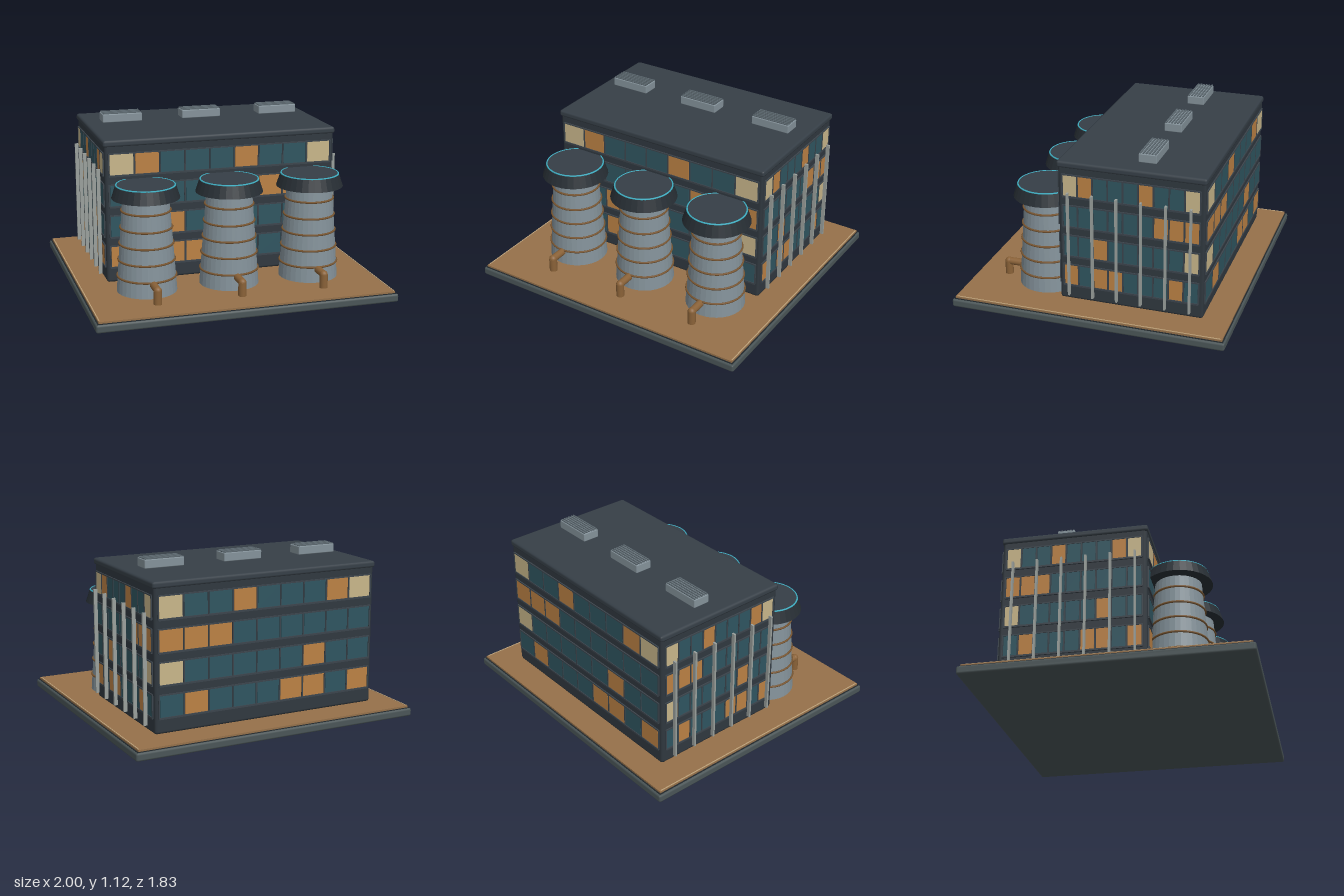
import * as THREE from 'three';
import { RoundedBoxGeometry } from 'three/addons/geometries/RoundedBoxGeometry.js';

const mat = (color, opts = {}) => new THREE.MeshStandardMaterial({ color, ...opts });
const M = {
  slab: mat(0x4a5557), slabEdge: mat(0x23292d), ground: mat(0x96714a), trim: mat(0xc2a57c),
  wall: mat(0x30383f), roof: mat(0x363f47), frame: mat(0x3b444c),
  teal: mat(0x2f5560), orange: mat(0xbb8144), cream: mat(0xc8b68a),
  metal: mat(0x84929a), darkMetal: mat(0x5b676e), conduit: mat(0x9aa09c),
  tower: mat(0x84929a, { flatShading: true }), cap: mat(0x272e34, { flatShading: true }),
  capTop: mat(0x353e47), glow: mat(0x3fb0c4), copper: mat(0x8a6238), hoop: mat(0x7a5732),
};

function add(parent, name, geometry, material, x = 0, y = 0, z = 0) {
  const mesh = new THREE.Mesh(geometry, material);
  mesh.name = name;
  mesh.position.set(x, y, z);
  parent.add(mesh);
  return mesh;
}
const box = (w, h, d) => new THREE.BoxGeometry(w, h, d);
const bevelBox = (w, h, d, r) => new RoundedBoxGeometry(w, h, d, 1, r);

// Building placement
const CZ = -0.245, HALF_X = 0.79, HALF_Z = 0.478;
const ROW_Y = [0.88, 0.672, 0.465, 0.258];
// Window colours per row: c cream, o orange, t teal
const PATTERN = ['cotttottc', 'ttttttooo', 'ttotttttc', 'otootttot'];
const GLASS = { c: M.cream, o: M.orange, t: M.teal };

// One wall of windows; built facing +z, first column at local -x (or +x if flipped)
function windowWall(name, pitch, flip) {
  const g = new THREE.Group();
  g.name = name;
  const dir = flip ? -1 : 1, width = pitch * 9;
  ROW_Y.forEach((y, r) => {
    for (let c = 0; c < 9; c++) {
      add(g, 'windowPane', box(pitch - 0.014, 0.136, 0.012), GLASS[PATTERN[r][c]], dir * (c - 4) * pitch, y, 0);
    }
    for (let c = 0; c <= 9; c++) {
      add(g, 'mullion', box(0.008, 0.15, 0.016), M.frame, (c - 4.5) * pitch, y, 0);
    }
    add(g, 'sill', box(width, 0.012, 0.02), M.frame, 0, y - 0.075, 0);
    add(g, 'lintel', box(width, 0.008, 0.016), M.frame, 0, y + 0.073, 0);
  });
  return g;
}

function makeBuilding() {
  const g = new THREE.Group();
  g.name = 'building';
  add(g, 'walls', bevelBox(HALF_X * 2, 0.95, HALF_Z * 2, 0.018), M.wall, 0, 0.555, CZ);
  add(g, 'roofSlab', bevelBox(1.6, 0.045, 0.97, 0.016), M.roof, 0, 1.018, CZ);

  // Window walls on all four sides
  const front = windowWall('frontWindows', 0.17, false);
  front.position.z = CZ + HALF_Z;
  const back = windowWall('backWindows', 0.17, true);
  back.position.z = CZ - HALF_Z;
  back.rotation.y = Math.PI;
  const left = windowWall('leftWindows', 0.0995, false);
  left.position.set(HALF_X, 0, CZ);
  left.rotation.y = Math.PI / 2;
  const right = windowWall('rightWindows', 0.0995, true);
  right.position.set(-HALF_X, 0, CZ);
  right.rotation.y = -Math.PI / 2;
  g.add(front, back, left, right);

  // Vertical conduits on both end walls
  for (const s of [-1, 1]) {
    for (let i = 0; i < 6; i++) {
      add(g, 'conduit', box(0.024, 0.715, 0.013), M.conduit, s * 0.82, 0.483, 0.16 - i * 0.16);
    }
  }
  return g;
}

// Roof vent with louvre slats on top
function makeVent(x) {
  const g = new THREE.Group();
  g.name = 'roofVent';
  g.position.set(x, 1.055, -0.325);
  add(g, 'ventBox', bevelBox(0.275, 0.058, 0.118, 0.006), M.metal, 0, 0.029, 0);
  for (let i = 0; i < 6; i++) {
    add(g, 'ventSlat', box(0.265, 0.008, 0.01), M.darkMetal, 0, 0.06, (i - 2.5) * 0.0195);
  }
  return g;
}

function makeTower(x) {
  const g = new THREE.Group();
  g.name = 'coolingTower';
  g.position.set(x, 0, 0.397);
  const y0 = 0.07, y1 = 0.71, r0 = 0.198, r1 = 0.15;
  add(g, 'towerShell', new THREE.CylinderGeometry(r1, r0, y1 - y0, 32), M.tower, 0, (y0 + y1) / 2, 0);

  // Hoops follow the taper
  for (const y of [0.175, 0.285, 0.393, 0.5, 0.612]) {
    const r = r0 + (r1 - r0) * (y - y0) / (y1 - y0);
    add(g, 'hoop', new THREE.TorusGeometry(r + 0.003, 0.007, 6, 32), M.hoop, 0, y, 0).rotation.x = Math.PI / 2;
  }

  // Flared cap with a bright rim ring
  add(g, 'cap', new THREE.CylinderGeometry(0.195, 0.222, 0.082, 32), M.cap, 0, 0.735, 0);
  add(g, 'capLid', new THREE.CylinderGeometry(0.188, 0.188, 0.006, 32), M.capTop, 0, 0.776, 0);
  add(g, 'capRing', new THREE.TorusGeometry(0.19, 0.006, 6, 48), M.glow, 0, 0.776, 0).rotation.x = Math.PI / 2;

  // Outlet pipe: horizontal run, elbow, drop
  add(g, 'outletRun', new THREE.CylinderGeometry(0.025, 0.025, 0.13, 16), M.copper, 0, 0.16, 0.23).rotation.x = Math.PI / 2;
  add(g, 'outletElbow', new THREE.SphereGeometry(0.0265, 16, 10), M.copper, 0, 0.16, 0.295);
  add(g, 'outletDrop', new THREE.CylinderGeometry(0.027, 0.027, 0.09, 16), M.copper, 0, 0.115, 0.295);
  return g;
}

function makeBase() {
  const g = new THREE.Group();
  g.name = 'base';
  add(g, 'baseSlab', bevelBox(2, 0.055, 1.83, 0.014), M.slab, 0, 0.0275, 0);
  add(g, 'baseEdge', box(1.975, 0.012, 1.805), M.slabEdge, 0, 0.052, 0);
  add(g, 'ground', box(1.96, 0.016, 1.79), M.ground, 0, 0.062, 0);
  // Thin trim along the two sides
  for (const s of [-1, 1]) add(g, 'groundTrim', box(0.006, 0.006, 1.77), M.trim, s * 0.974, 0.07, 0);
  return g;
}

export function createModel() {
  const model = new THREE.Group();
  model.name = 'powerPlant';
  model.add(makeBase(), makeBuilding());
  for (const x of [-0.56, 0, 0.56]) model.add(makeVent(x), makeTower(x));
  return model;
}
